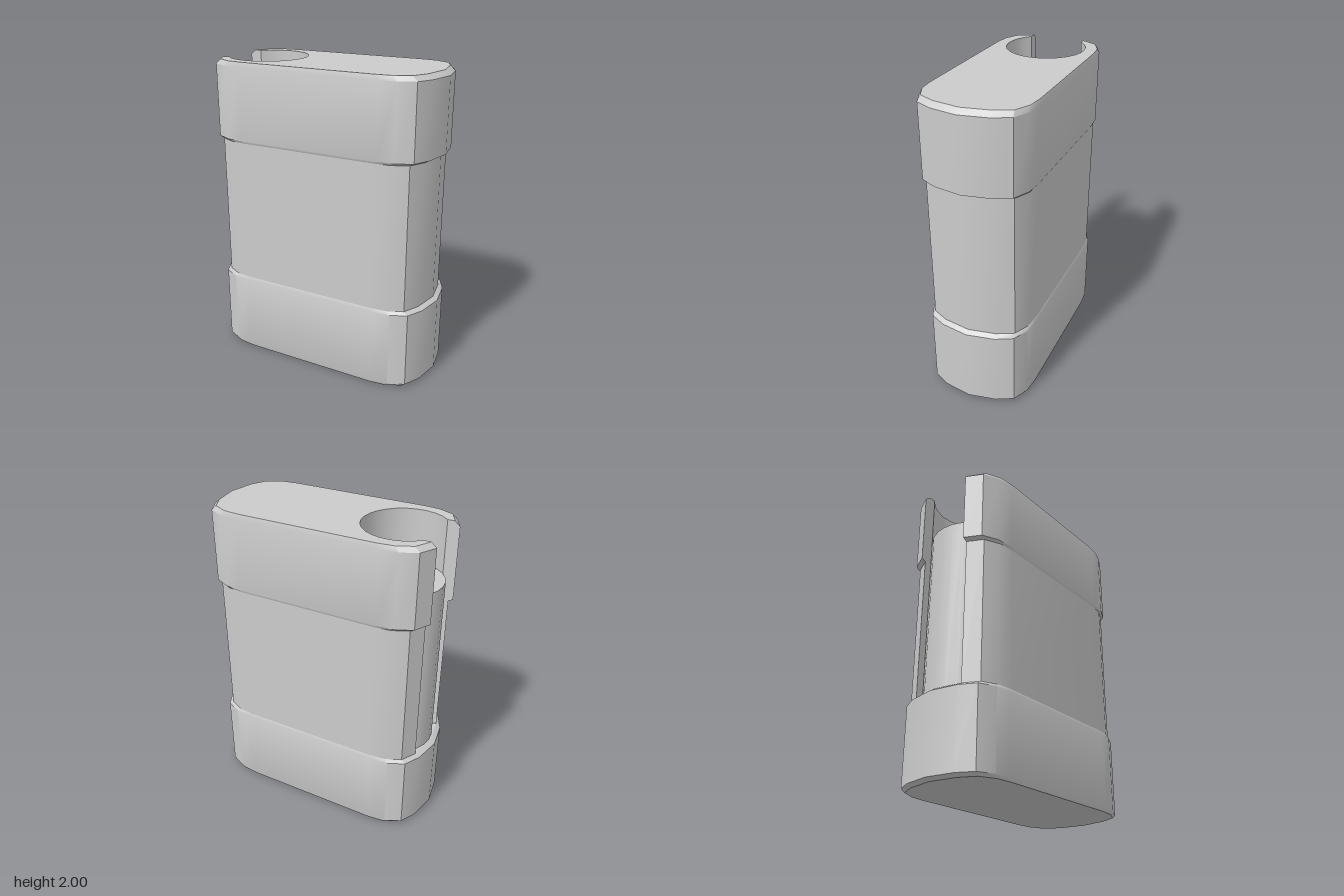
import * as THREE from 'three';
import { toCreasedNormals } from 'three/addons/utils/BufferGeometryUtils.js';

const material = new THREE.MeshStandardMaterial({ color: 0xcccccc });
const HOLE = { x: -0.475, r: 0.26, slot: 0.18 };

// Rounded end of the plan outline, from the end's middle to the flat side
const END = [[0.775, 0], [0.742, 0.18], [0.688, 0.286], [0.585, 0.334], [0.475, 0.345]];

// Full plan outline, counter-clockwise
function solidOutline(sx, sz) {
  const right = END.map(([x, z]) => [x, z]);
  const upperLeft = END.map(([x, z]) => [-x, z]).reverse();
  const lowerLeft = END.slice(1).map(([x, z]) => [-x, -z]);
  const lowerRight = END.slice(1).map(([x, z]) => [x, -z]).reverse();
  return [...right, ...upperLeft, ...lowerLeft, ...lowerRight]
    .map(([x, z]) => new THREE.Vector2(x * sx, z * sz));
}

// Same outline with a round well that opens through a slot in the -x end
function slottedOutline(sx, sz) {
  const full = solidOutline(sx, sz);
  const end = full.findIndex((p) => p.x < -0.7 * sx && Math.abs(p.y) < 0.01);
  const outer = [...full.slice(end + 1), ...full.slice(0, end)];
  outer[0].y = -HOLE.slot;
  outer[outer.length - 1].y = HOLE.slot;
  const start = Math.PI - Math.asin(HOLE.slot / HOLE.r);
  const well = [];
  for (let i = 0; i <= 20; i++) {
    const a = start * (1 - i / 10);
    well.push(new THREE.Vector2(HOLE.x + HOLE.r * Math.cos(a), HOLE.r * Math.sin(a)));
  }
  return [...outer, ...well];
}

// Closed solid through levels [y, scaleX, scaleZ] of an outline
function loft(name, outline, levels) {
  const rings = levels.map(([, sx, sz]) => outline(sx, sz));
  const n = rings[0].length;
  const positions = [];
  const index = [];
  rings.forEach((ring, k) => ring.forEach((p) => positions.push(p.x, levels[k][0], -p.y)));
  for (let k = 0; k < rings.length - 1; k++) {
    for (let i = 0; i < n; i++) {
      const a = k * n + i;
      const b = k * n + ((i + 1) % n);
      index.push(a, b, b + n, a, b + n, a + n);
    }
  }
  const last = (rings.length - 1) * n;
  for (const [a, b, c] of THREE.ShapeUtils.triangulateShape(rings[0], [])) index.push(a, c, b);
  for (const [a, b, c] of THREE.ShapeUtils.triangulateShape(rings[rings.length - 1], [])) {
    index.push(last + a, last + b, last + c);
  }
  const geometry = new THREE.BufferGeometry();
  geometry.setAttribute('position', new THREE.Float32BufferAttribute(positions, 3));
  geometry.setIndex(index);
  const mesh = new THREE.Mesh(toCreasedNormals(geometry, 0.5), material);
  mesh.name = name;
  return mesh;
}

export function createModel() {
  const group = new THREE.Group();
  group.name = 'slottedCase';

  // Solid base band with bevelled edges
  group.add(loft('baseBand', solidOutline, [
    [0, 0.965, 0.98], [0.02, 1, 1], [0.52, 1, 1], [0.54, 0.96, 0.98],
  ]));

  // Narrower waist and bevelled top band, both open at the slot
  group.add(loft('waist', slottedOutline, [[0.53, 0.96, 0.98], [1.5, 0.96, 0.98]]));
  group.add(loft('topBand', slottedOutline, [
    [1.485, 0.96, 0.98], [1.5, 1, 1], [1.97, 1, 1], [2, 0.955, 0.98],
  ]));

  // Round core standing in the well, showing through the slot
  const core = new THREE.Mesh(
    toCreasedNormals(new THREE.CylinderGeometry(0.258, 0.258, 1.14, 24), 0.5), material);
  core.name = 'core';
  core.position.set(HOLE.x, 1.09, 0);
  group.add(core);

  return group;
}
